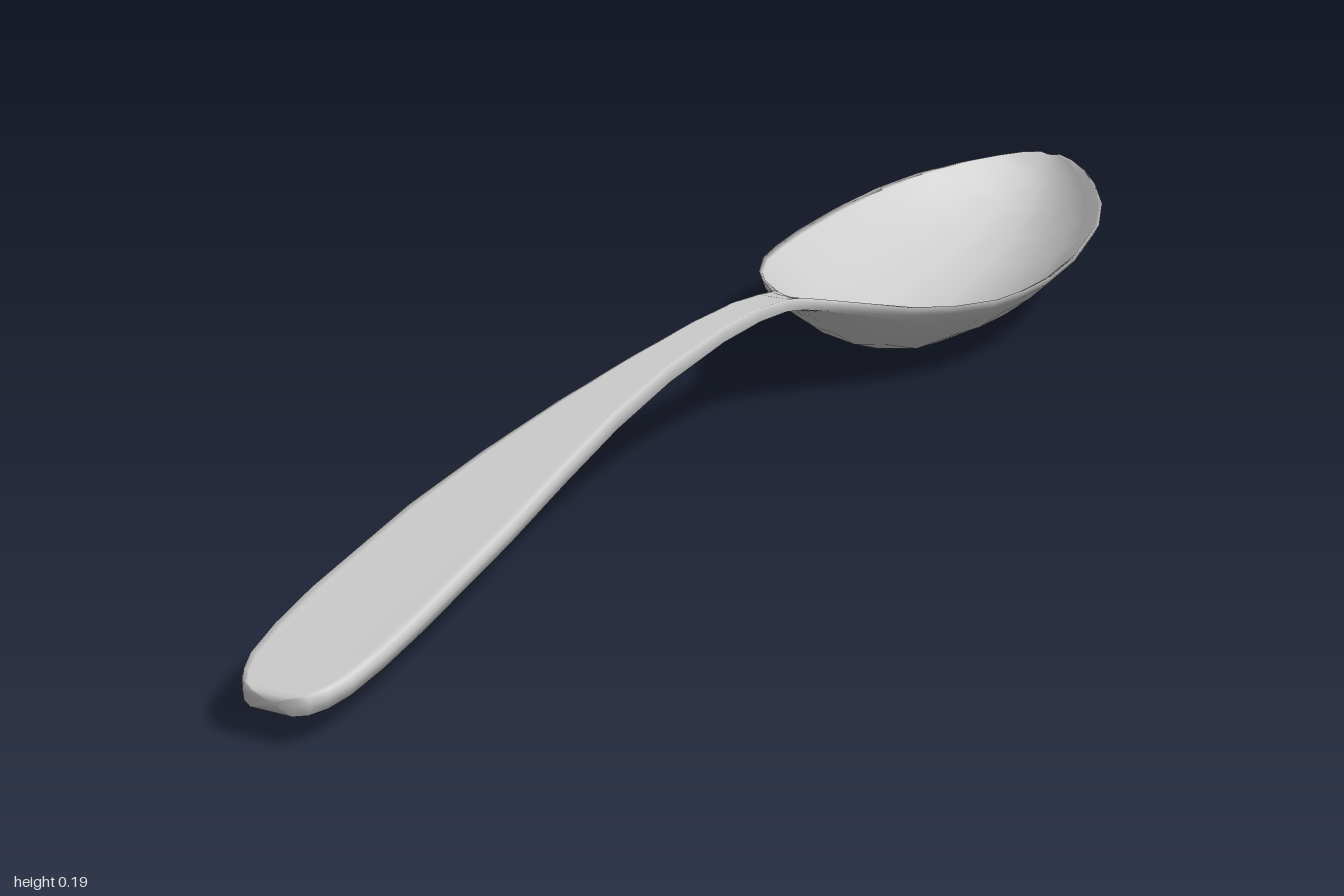
import * as THREE from 'three';

// Stations along the spoon: z, half width, top of the edge, underside at the middle
const HANDLE = [
  [1, 0.03, 0.062, 0.040], [0.99, 0.046, 0.064, 0.041], [0.97, 0.06, 0.069, 0.045],
  [0.94, 0.071, 0.076, 0.052], [0.88, 0.078, 0.089, 0.064], [0.8, 0.08, 0.105, 0.080],
  [0.6, 0.073, 0.141, 0.116], [0.45, 0.059, 0.164, 0.140], [0.3, 0.043, 0.182, 0.158],
  [0.15, 0.031, 0.192, 0.170], [0, 0.024, 0.195, 0.175], [-0.1, 0.022, 0.191, 0.172],
  [-0.17, 0.022, 0.181, 0.164],
];
const BOWL = [
  [-0.21, 0.027, 0.172, 0.153], [-0.25, 0.042, 0.16, 0.137], [-0.3, 0.077, 0.147, 0.107],
  [-0.35, 0.115, 0.135, 0.073], [-0.4, 0.148, 0.127, 0.043], [-0.47, 0.18, 0.121, 0.015],
  [-0.53, 0.192, 0.119, 0.006], [-0.6, 0.198, 0.119, 0.001], [-0.7, 0.193, 0.123, 0.007],
  [-0.8, 0.174, 0.13, 0.024], [-0.87, 0.145, 0.137, 0.045], [-0.93, 0.105, 0.143, 0.073],
  [-0.97, 0.069, 0.147, 0.1], [-0.99, 0.041, 0.149, 0.121], [-1, 0.015, 0.15, 0.137],
];
const ACROSS = [-0.96, -0.83, -0.65, -0.33, 0, 0.33, 0.65, 0.83, 0.96];

// Closed ring: parabolic underside, edge point, parabolic upper face, edge point
function section([z, w, edge, under]) {
  const t = Math.min(edge - under, THREE.MathUtils.mapLinear(
    THREE.MathUtils.clamp(z, -0.4, 0), -0.4, 0, 0.01, 0.024));
  const rise = edge - t - under;
  const low = (u) => under + rise * u * u;
  const ring = ACROSS.map((u) => [u * w, low(u), z]);
  ring.push([w, edge - t * 0.4, z]);
  for (const u of [...ACROSS].reverse()) ring.push([u * w, low(u) + t, z]);
  ring.push([-w, edge - t * 0.4, z]);
  return ring;
}

// Skin the rings from front to back and close both ends
function loft(rings) {
  const n = rings[0].length;
  const pos = rings.flat(2);
  const index = [];
  for (let i = 0; i < rings.length - 1; i++) {
    for (let j = 0; j < n; j++) {
      const a = i * n + j, b = i * n + (j + 1) % n;
      index.push(a, a + n, b, b, a + n, b + n);
    }
  }
  const cap = (row, front) => {
    const ring = rings[row];
    const centre = pos.length / 3;
    const mid = (ring[4][1] + ring[14][1]) / 2;
    pos.push(0, mid, ring[0][2]);
    for (let j = 0; j < n; j++) {
      const a = row * n + j, b = row * n + (j + 1) % n;
      if (front) index.push(centre, a, b);
      else index.push(centre, b, a);
    }
  };
  cap(0, true);
  cap(rings.length - 1, false);
  const geo = new THREE.BufferGeometry();
  geo.setAttribute('position', new THREE.Float32BufferAttribute(pos, 3));
  geo.setIndex(index);
  geo.computeVertexNormals();
  return geo;
}

export function createModel() {
  const group = new THREE.Group();
  group.name = 'spoon';
  const material = new THREE.MeshStandardMaterial({ color: 0xcccccc });
  // Handle and bowl are one continuous piece of metal
  const body = new THREE.Mesh(loft([...HANDLE, ...BOWL].map(section)), material);
  body.name = 'handleAndBowl';
  group.add(body);
  return group;
}
